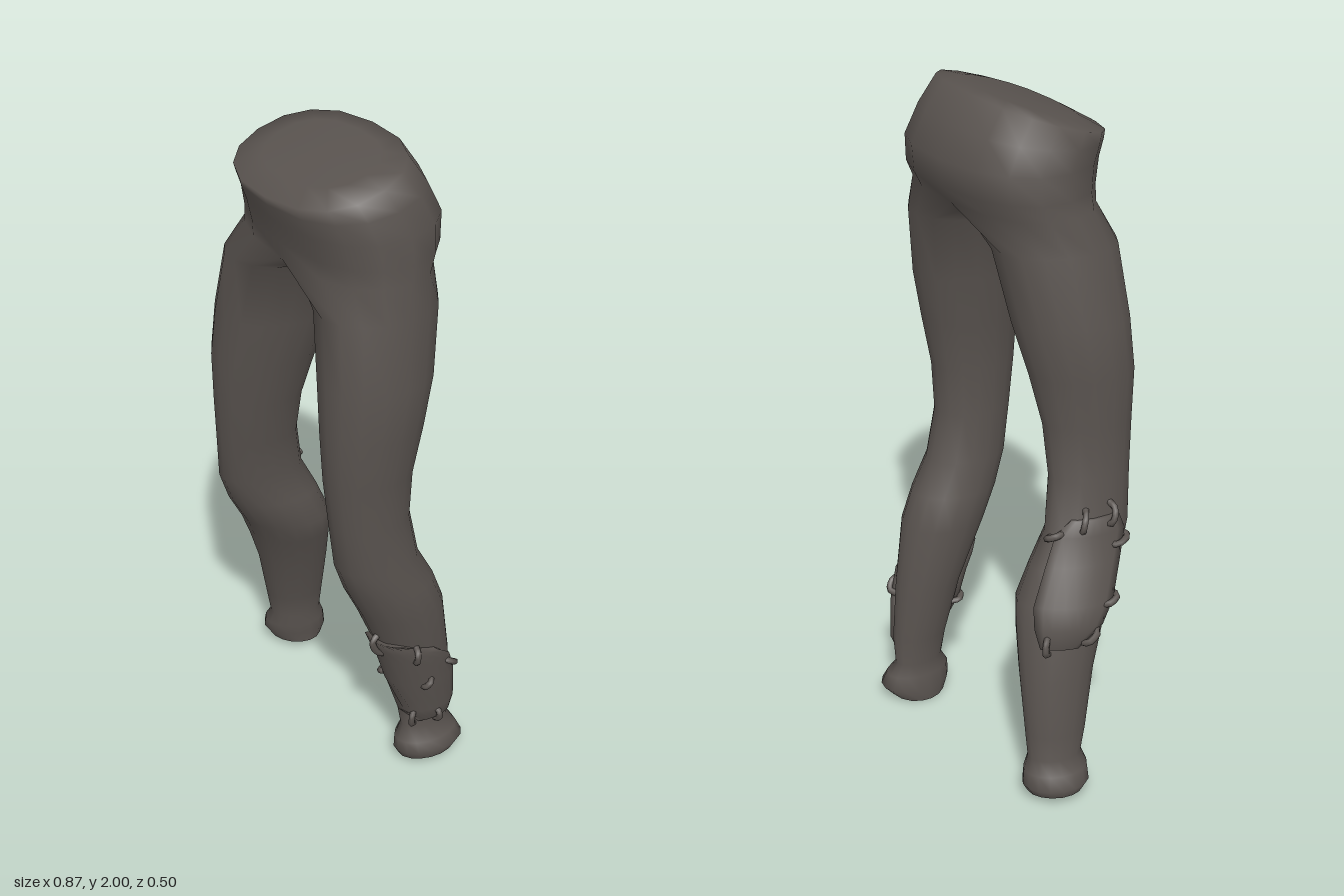
import * as THREE from 'three';
import { mergeGeometries, mergeVertices } from 'three/addons/utils/BufferGeometryUtils.js';

const SIDES = 16;
const cloth = new THREE.MeshStandardMaterial({ color: 0x59534f });
cloth.name = 'charcoal cloth';

// Leg cross-sections from the hem up: y, min x, max x, min z, max z, slope along x
const LEFT_LEG = [
  [0.015, 0.255, 0.395, -0.225, -0.055, 0.2],
  [0.05, 0.253, 0.405, -0.255, -0.033, 0.1],
  [0.09, 0.26, 0.39, -0.238, -0.035],
  [0.13, 0.27, 0.36, -0.215, -0.06],
  [0.22, 0.255, 0.375, -0.218, -0.045],
  [0.4, 0.23, 0.395, -0.198, 0.003],
  [0.6, 0.198, 0.413, -0.168, 0.085],
  [0.7, 0.201, 0.408, -0.13, 0.135],
  [0.8, 0.211, 0.4, -0.075, 0.172],
  [0.95, 0.213, 0.396, -0.042, 0.192],
  [1.1, 0.21, 0.405, -0.047, 0.212],
  [1.25, 0.195, 0.425, -0.072, 0.22],
  [1.4, 0.17, 0.434, -0.1, 0.217],
  [1.6, 0.14, 0.42, -0.125, 0.21],
];
const RIGHT_LEG = [
  [0.027, -0.425, -0.283, -0.222, -0.075, -0.07],
  [0.06, -0.437, -0.281, -0.243, -0.055],
  [0.1, -0.42, -0.275, -0.232, -0.05],
  [0.14, -0.395, -0.28, -0.215, -0.06],
  [0.22, -0.4, -0.265, -0.217, -0.045],
  [0.4, -0.388, -0.213, -0.205, 0.0],
  [0.52, -0.38, -0.173, -0.19, 0.045],
  [0.6, -0.372, -0.148, -0.172, 0.08],
  [0.7, -0.35, -0.16, -0.13, 0.135],
  [0.8, -0.332, -0.173, -0.08, 0.172],
  [0.95, -0.31, -0.145, -0.045, 0.192],
  [1.1, -0.303, -0.11, -0.045, 0.207],
  [1.25, -0.31, -0.065, -0.07, 0.215],
  [1.4, -0.297, -0.018, -0.1, 0.212],
  [1.6, -0.25, 0.035, -0.125, 0.208],
];
// Hip cross-sections: y, min x, max x, min z, max z, slope along z, slope along x
const HIPS = [
  [1.7, -0.215, 0.408, -0.15, 0.208, 0, 0],
  [1.75, -0.208, 0.404, -0.178, 0.215, 0, 0],
  [1.825, -0.202, 0.397, -0.188, 0.233, -0.03, 0],
  [1.89, -0.197, 0.378, -0.148, 0.247, -0.13, 0.03],
  [1.94, -0.187, 0.352, -0.095, 0.25, -0.32, 0.06],
  [1.956, -0.1, 0.27, -0.045, 0.19, -0.3, 0.05],
  [1.962, 0.085, 0.085, 0.06, 0.06, 0, 0],
];

const around = (fn) => Array.from({ length: SIDES }, (_, i) => fn((i / SIDES) * Math.PI * 2, i));

// Point on an oval section; skew turns the oval while keeping its extents
function ringPoint([y, x0, x1, z0, z1, slope = 0], angle, skew, grow = 0) {
  const dx = ((x1 - x0) / 2 + grow) * Math.cos(angle + skew);
  const dz = ((z1 - z0) / 2 + grow) * Math.sin(angle - skew);
  return new THREE.Vector3((x0 + x1) / 2 + dx, y + slope * dx, (z0 + z1) / 2 + dz);
}

// Point on a squarer, tilted hip section
function hipPoint([y, x0, x1, z0, z1, sz, sx], angle) {
  const c = Math.cos(angle), s = Math.sin(angle);
  const dx = Math.sign(c) * Math.abs(c) ** 0.8 * (x1 - x0) / 2;
  const dz = Math.sign(s) * Math.abs(s) ** 0.9 * (z1 - z0) / 2;
  return new THREE.Vector3((x0 + x1) / 2 + dx, y + sz * dz + sx * dx, (z0 + z1) / 2 + dz);
}

// Point on a leg at any height
function legPoint(leg, y, angle, grow) {
  let i = 0;
  while (i < leg.rings.length - 2 && leg.rings[i + 1][0] < y) i++;
  const a = leg.rings[i], b = leg.rings[i + 1];
  const k = (y - a[0]) / (b[0] - a[0]);
  return ringPoint(a.map((v, j) => v + (b[j] - v) * k), angle, leg.skew, grow);
}

// Skin over rows of points, given from bottom to top
function loft(rows, closed) {
  const n = rows[0].length, index = [];
  for (let r = 0; r < rows.length - 1; r++) {
    for (let c = 0; c < (closed ? n : n - 1); c++) {
      const a = r * n + c, b = r * n + ((c + 1) % n);
      index.push(a, a + n, b + n, a, b + n, b);
    }
  }
  const geo = new THREE.BufferGeometry().setFromPoints(rows.flat());
  geo.setIndex(index);
  geo.computeVertexNormals();
  return geo;
}

function part(name, geo) {
  const mesh = new THREE.Mesh(geo, cloth);
  mesh.name = name;
  return mesh;
}

// Hips and legs as one smooth skin: each leg ends in half the hip outline plus the crotch curve
function trouserSkin(legs) {
  const hipRows = HIPS.map((ring) => around((t) => hipPoint(ring, t)));
  const seam = hipRows[0], front = SIDES / 4, half = SIDES / 2;
  const crotch = (k) => {
    const p = seam[front].clone().lerp(seam[front + half], k / half);
    p.y -= 0.05 * Math.sqrt(Math.sin((Math.PI * k) / half));
    return p;
  };
  const pieces = legs.map((leg) => {
    const rows = leg.rings.map((r) => around((t) => ringPoint(r, t, leg.skew)));
    rows.push(around((t, i) => {
      const k = (i - front + SIDES) % SIDES;
      const onRight = k >= 0 && k <= half;
      const onLeft = k === 0 || k >= half;
      if (leg.side < 0 ? onRight : onLeft) return seam[i].clone();
      return crotch(leg.side < 0 ? SIDES - k : k);
    }));
    return loft(rows, true);
  });
  const all = mergeGeometries([loft(hipRows, true), ...pieces]);
  all.deleteAttribute('normal');
  const skin = mergeVertices(all, 1e-4);
  skin.computeVertexNormals();
  return part('hipsAndLegs', skin);
}

// Patch: raised cloth wrapped on a leg; rows are y, start degrees, end degrees, lift
function patch(leg, spec) {
  const cols = 9, rad = Math.PI / 180;
  const row = ([y, a0, a1, lift], flat) => Array.from({ length: cols + 2 }, (_, i) => {
    const k = THREE.MathUtils.clamp((i - 1) / (cols - 1), 0, 1);
    const edge = flat || i === 0 || i === cols + 1;
    return legPoint(leg, y, (a0 + (a1 - a0) * k) * rad, edge ? -0.004 : lift);
  });
  const rows = [row(spec[0], true), ...spec.map((s) => row(s, false)), row(spec[spec.length - 1], true)];
  return part('patch', loft(rows, false));
}

// Stitch: thick thread arching between two spots on a leg
function stitch(leg, [y0, a0, y1, a1, lift]) {
  const at = (k, grow) => legPoint(leg, y0 + (y1 - y0) * k, (a0 + (a1 - a0) * k) * Math.PI / 180, grow);
  const path = new THREE.CatmullRomCurve3([at(0, -0.005), at(0.2, lift), at(0.8, lift), at(1, -0.005)]);
  return part('stitch', new THREE.TubeGeometry(path, 8, 0.01, 6));
}

// Sole, patch and stitches of one leg
function legDetails(name, leg, patchRows, stitches) {
  const group = new THREE.Group();
  group.name = name;
  const [y, x0, x1, z0, z1] = leg.rings[0];
  const centre = around(() => new THREE.Vector3((x0 + x1) / 2, y + 0.012, (z0 + z1) / 2));
  const rim = around((t) => ringPoint(leg.rings[0], t, leg.skew));
  group.add(part('sole', loft([centre, rim], true)));
  group.add(patch(leg, patchRows));
  stitches.forEach((s) => group.add(stitch(leg, s)));
  return group;
}

export function createModel() {
  const model = new THREE.Group();
  model.name = 'trousers';
  const left = { rings: LEFT_LEG, skew: 0.05, side: 1 };
  const right = { rings: RIGHT_LEG, skew: 0.12, side: -1 };
  model.add(trouserSkin([left, right]));

  // Shin patch
  model.add(legDetails('leftLegDetails', left, [
    [0.165, -35, 40, 0.008],
    [0.21, -50, 85, 0.011],
    [0.33, -50, 125, 0.013],
    [0.42, -30, 122, 0.013],
    [0.47, -5, 120, 0.013],
    [0.505, 45, 112, 0.012],
  ], [
    [0.525, 82, 0.45, 82, 0.02],
    [0.49, 22, 0.43, 30, 0.02],
    [0.39, -25, 0.35, -48, 0.018],
    [0.34, 112, 0.32, 136, 0.016],
    [0.21, 50, 0.15, 54, 0.016],
    [0.2, 0, 0.15, -2, 0.014],
    [0.35, 10, 0.32, 26, 0.018],
  ]));

  // Calf patch
  model.add(legDetails('rightLegDetails', right, [
    [0.5, 195, 240, 0.016],
    [0.56, 172, 246, 0.03],
    [0.62, 165, 250, 0.032],
    [0.72, 160, 252, 0.018],
    [0.8, 160, 254, 0.014],
    [0.845, 170, 235, 0.012],
  ], [
    [0.88, 180, 0.82, 184, 0.022],
    [0.87, 215, 0.81, 218, 0.02],
    [0.78, 152, 0.76, 175, 0.022],
    [0.81, 244, 0.79, 268, 0.02],
    [0.63, 156, 0.61, 176, 0.034],
    [0.55, 174, 0.51, 190, 0.03],
    [0.54, 232, 0.48, 232, 0.026],
  ]));
  return model;
}
